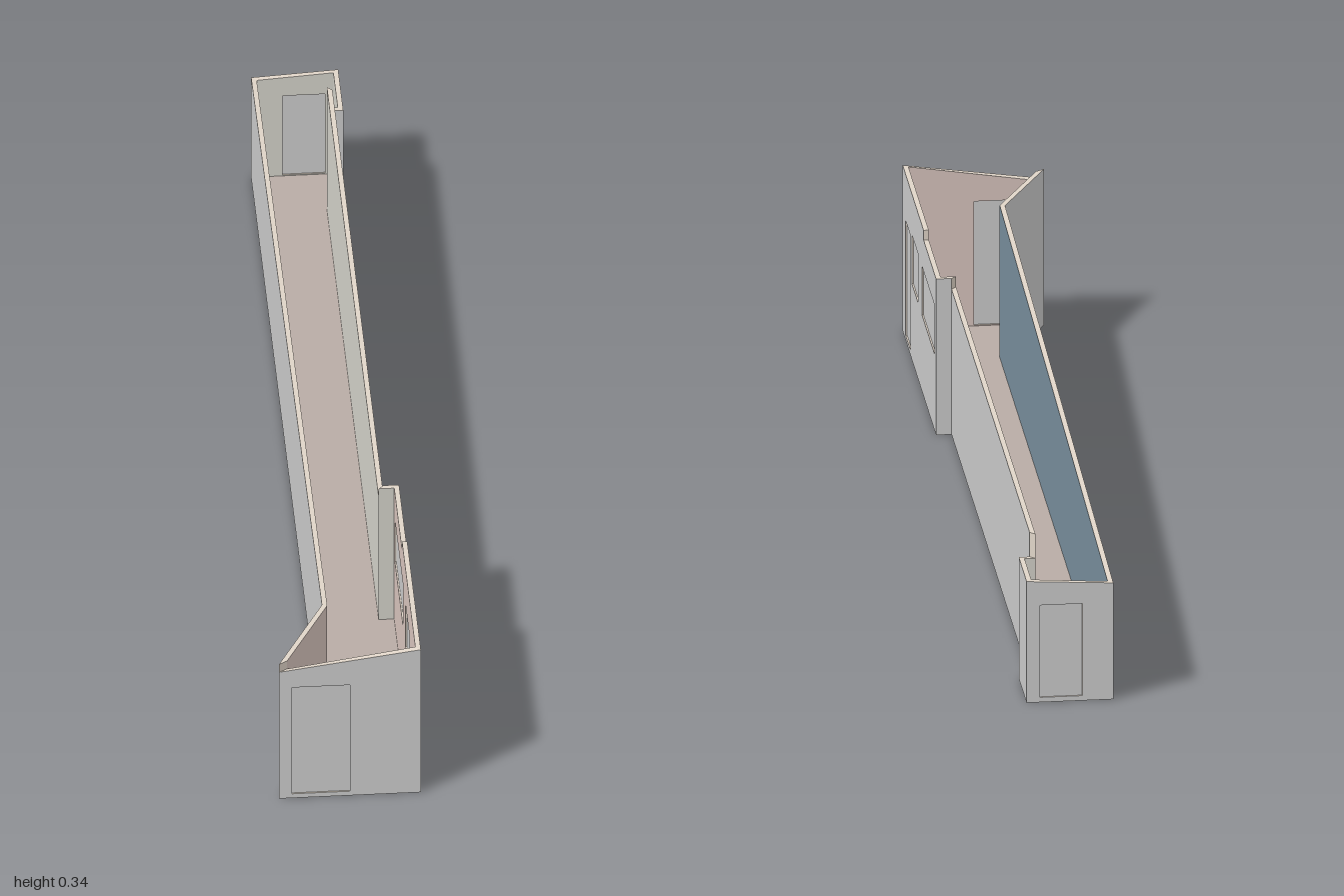
import * as THREE from 'three';

const T = 0.01; // wall thickness

const grey = new THREE.MeshStandardMaterial({ color: 0xcccccc });
const tint = (color) => new THREE.MeshStandardMaterial({ color });
const rim = tint(0xe0d5c8), blue = tint(0x788e9c), tan = tint(0xd8c5be), pale = tint(0xd4d2ca), brown = tint(0xb8aca5);

// Walls in order round the plan. start: outer corner [x, z]; top: [distance, height] points;
// holes: [from, to, bottom, top] measured along the wall.
const WALLS = [
  { name: 'frontWall', start: [-0.137, 1], top: [[0, 0.303], [0.274, 0.342]], inside: tan,
    holes: [[0.025, 0.137, 0.01, 0.265]] },
  { name: 'windowWall', start: [0.137, 1], top: [[0, 0.342], [0.35, 0.342], [0.35, 0.322], [0.56, 0.322]], inside: tan,
    holes: [[0.05, 0.132, 0.01, 0.247], [0.155, 0.26, 0.157, 0.258], [0.323, 0.535, 0.157, 0.258]] },
  { name: 'frontReturn', start: [0.137, 0.44], top: [[0, 0.322], [0.03, 0.322]], inside: pale },
  { name: 'corridorWall', start: [0.107, 0.44], top: [[0, 0.3], [1.308, 0.3]], inside: pale },
  { name: 'rearReturn', start: [0.107, -0.868], top: [[0, 0.25], [0.021, 0.25]], inside: pale },
  { name: 'rearSideWall', start: [0.128, -0.868], top: [[0, 0.25], [0.132, 0.25]], inside: pale },
  { name: 'backWall', start: [0.128, -1], top: [[0, 0.25], [0.168, 0.24]], inside: pale,
    holes: [[0.026, 0.108, 0.01, 0.2]] },
  { name: 'longWall', start: [-0.04, -1], top: [[0, 0.24], [1.815, 0.322]], inside: blue },
  { name: 'angledWall', start: [-0.04, 0.815], top: [[0, 0.322], [1, 0.322]], inside: tan },
];

const corners = WALLS.map((w) => new THREE.Vector2(...w.start));
const count = corners.length;
const at = (i) => corners[(i + count) % count];
const direction = (i) => at(i + 1).clone().sub(at(i)).normalize();
const inward = (i) => { const d = direction(i); return new THREE.Vector2(d.y, -d.x); };

// Inner corner, mitred between the two walls that meet there
function innerCorner(i) {
  const a = inward((i - 1 + count) % count), b = inward(i % count);
  return at(i).clone().add(a.clone().add(b).multiplyScalar(T / (1 + a.dot(b))));
}

function makeWall(spec, i) {
  const group = new THREE.Group();
  group.name = spec.name;
  const d = direction(i);
  const length = at(i).distanceTo(at(i + 1));
  const holes = spec.holes || [];

  // Elevation of the wall with its openings
  const points = [[0, 0], [length, 0], ...[...spec.top].reverse().map(([u, h]) => [Math.min(u, length), h])];
  points[2][0] = length;
  const shape = new THREE.Shape(points.map((p) => new THREE.Vector2(...p)));
  for (const [u0, u1, y0, y1] of holes) {
    shape.holes.push(new THREE.Path([[u0, y0], [u0, y1], [u1, y1], [u1, y0]].map((p) => new THREE.Vector2(...p))));
  }
  const geometry = new THREE.ExtrudeGeometry(shape, { depth: T, bevelEnabled: false });
  geometry.translate(0, 0, -T);

  // Mitre the inner ends
  const startShift = innerCorner(i).sub(at(i)).dot(d);
  const endShift = innerCorner(i + 1).sub(at(i + 1)).dot(d);
  const pos = geometry.attributes.position;
  for (let k = 0; k < pos.count; k++) {
    if (pos.getZ(k) > -T / 2) continue;
    const u = pos.getX(k);
    if (u < 1e-5) pos.setX(k, u + startShift);
    else if (u > length - 1e-5) pos.setX(k, u + endShift);
  }
  geometry.computeVertexNormals();

  // Inner face, outer face and edges get separate materials
  const caps = geometry.groups[0].count;
  geometry.clearGroups();
  geometry.addGroup(0, caps / 2, 0);
  geometry.addGroup(caps / 2, caps / 2, 1);
  geometry.addGroup(caps, pos.count - caps, 2);
  const wall = new THREE.Mesh(geometry, [spec.inside, grey, rim]);
  wall.name = spec.name + 'Shell';
  group.add(wall);

  // Door leaves and window panes set back in the openings
  for (const [u0, u1, y0, y1] of holes) {
    const panel = new THREE.Mesh(new THREE.BoxGeometry(u1 - u0, y1 - y0, 0.004), grey);
    panel.name = y0 < 0.05 ? 'door' : 'windowPane';
    panel.position.set((u0 + u1) / 2, (y0 + y1) / 2, -T / 2);
    group.add(panel);
  }

  group.position.set(at(i).x, 0, at(i).y);
  group.rotation.y = Math.atan2(-d.y, d.x);
  return group;
}

export function createModel() {
  const model = new THREE.Group();
  model.name = 'corridorRoom';
  WALLS.forEach((spec, i) => model.add(makeWall(spec, i)));

  // Floor slab fitted between the walls
  const plan = corners.map((_, i) => { const p = innerCorner(i); return new THREE.Vector2(p.x, -p.y); });
  const floorGeometry = new THREE.ExtrudeGeometry(new THREE.Shape(plan), { depth: 0.008, bevelEnabled: false });
  floorGeometry.rotateX(-Math.PI / 2);
  const floor = new THREE.Mesh(floorGeometry, brown);
  floor.name = 'floor';
  model.add(floor);
  return model;
}
